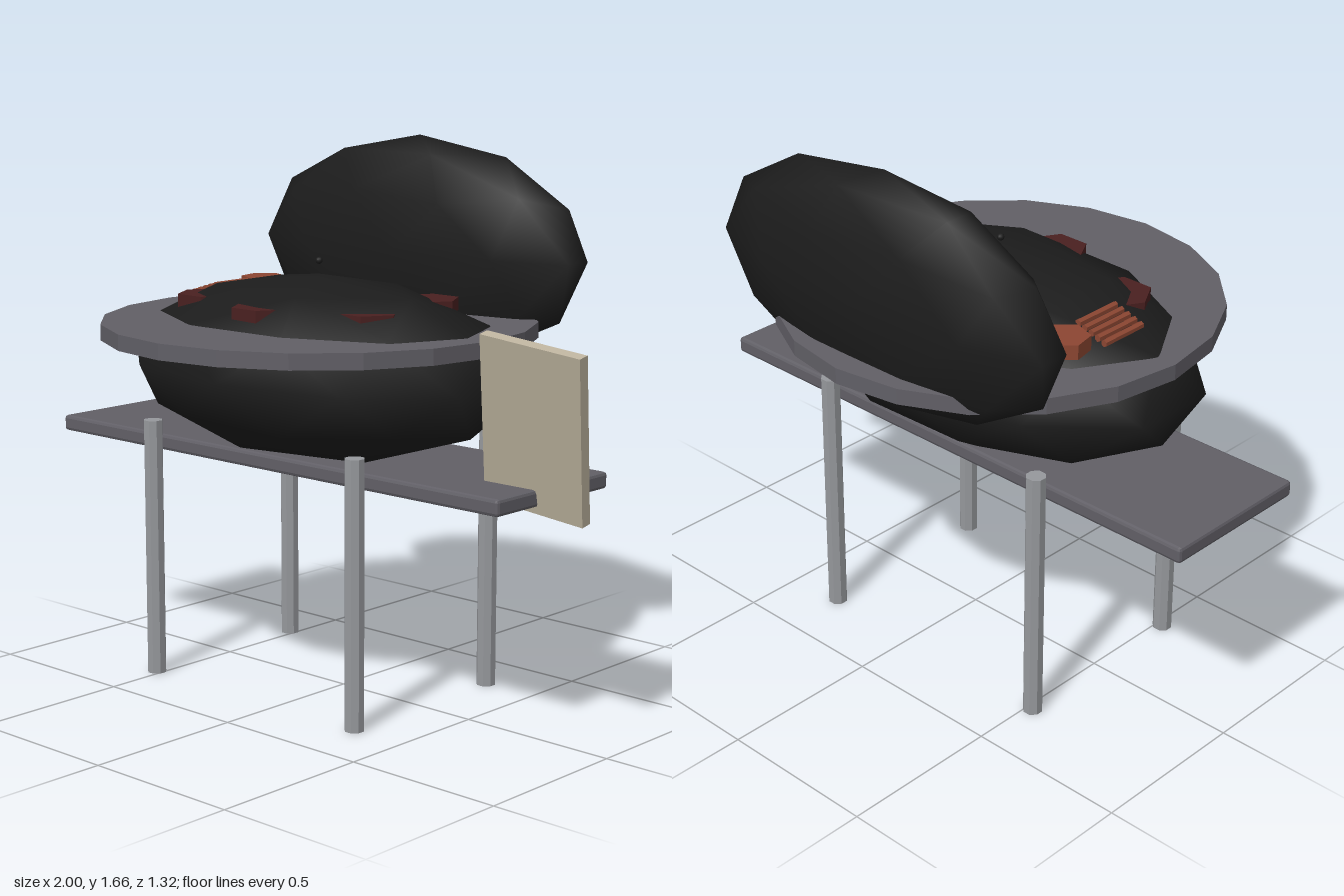
import * as THREE from 'three';
import { RoundedBoxGeometry } from 'three/addons/geometries/RoundedBoxGeometry.js';

const material = (name, color, flatShading = false) => {
  const m = new THREE.MeshStandardMaterial({ color, flatShading });
  m.name = name;
  return m;
};

export function createModel() {
  const model = new THREE.Group();
  model.name = 'barbecueGrill';

  const black = material('black enamel', 0x1c1c1c);
  const grey = material('grey metal', 0x615f66, true);
  const steel = material('steel', 0x96989c, true);
  const cream = material('cream board', 0xbdb39e, true);
  const darkRed = material('dark red meat', 0x4a2020, true);
  const orange = material('orange meat', 0x8c4632, true);

  const add = (name, geometry, mat, x, y, z) => {
    const mesh = new THREE.Mesh(geometry, mat);
    mesh.name = name;
    mesh.position.set(x, y, z);
    model.add(mesh);
    return mesh;
  };

  // Low-poly ellipsoid with a vertex at its top and bottom
  const ellipsoid = (rx, ry, rz) =>
    new THREE.IcosahedronGeometry(1, 1)
      .rotateZ(-Math.atan(2 / (1 + Math.sqrt(5))))
      .scale(rx, ry, rz);

  // Bowl, open lid standing behind it, and a small knob
  add('bowl', ellipsoid(0.7, 0.28, 0.445), black, -0.1, 0.985, 0);
  add('lid', ellipsoid(0.655, 0.353, 0.15), black, -0.1, 1.305, -0.46);
  add('knob', ellipsoid(0.011, 0.011, 0.011), black, -0.1, 1.305, 0);

  // Rim plate and shelf
  add('rim', new THREE.CylinderGeometry(0.66, 0.66, 0.048, 20), grey, -0.1, 1.106, 0);
  add('shelf', new RoundedBoxGeometry(1.8, 0.05, 0.5, 1, 0.01), grey, -0.1, 0.725, 0);

  // Four legs
  const legGeometry = new THREE.CylinderGeometry(0.03, 0.03, 0.805, 8).rotateY(Math.PI / 8);
  for (const x of [-0.52, 0.32]) {
    for (const z of [-0.3, 0.3]) add('leg', legGeometry, steel, x, 0.4025, z);
  }

  // Leaning board at the side
  const board = add('board', new THREE.BoxGeometry(0.34, 0.495, 0.035), cream, 0.805, 0.926, 0.1);
  board.rotation.set(0.19, 0, -0.1);

  // Patties half sunk in the cooking surface
  const pattyGeometry = new THREE.CylinderGeometry(0.1, 0.1, 0.04, 6).rotateY(Math.PI / 6);
  for (const [x, z] of [[-0.43, 0.14], [-0.1, 0.235], [0.2, 0.113], [0.14, -0.22]]) {
    add('patty', pattyGeometry, darkRed, x, 1.171, z);
  }

  // Orange cutlet with a row of thin strips beside it
  const cutlet = add('cutlet', new THREE.CylinderGeometry(0.072, 0.072, 0.045, 6), orange, -0.517, 1.182, -0.185);
  cutlet.rotation.y = 0.2;
  const stripGeometry = new THREE.CylinderGeometry(0.011, 0.011, 0.16, 6).rotateX(Math.PI / 2);
  for (let i = 0; i < 5; i++) {
    const x = -0.585 + i * 0.024;
    add('strip', stripGeometry, orange, x, 1.136 + 0.305 * (x + 0.696), -0.02);
  }

  return model;
}
